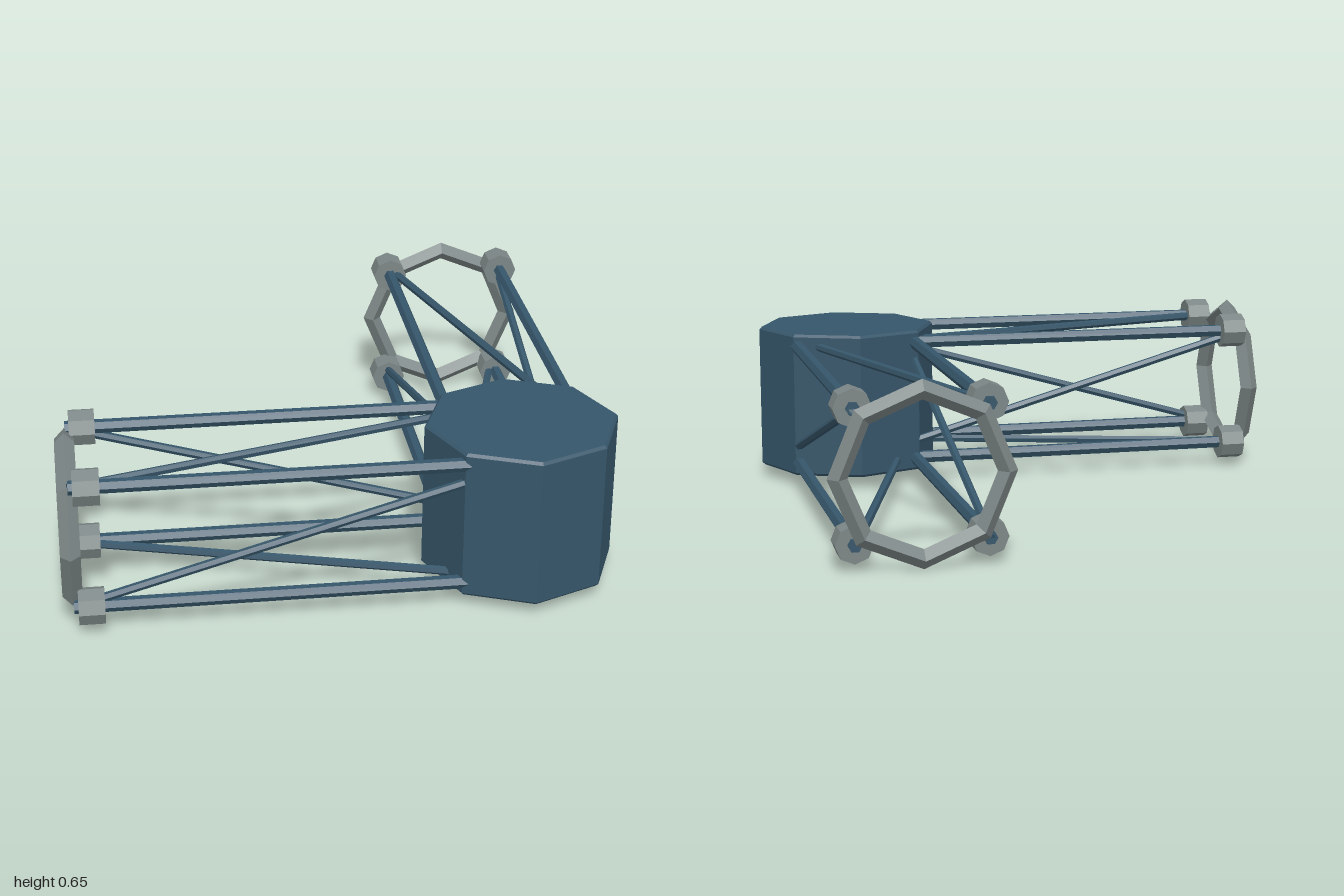
import * as THREE from 'three';

const steelBlue = new THREE.MeshStandardMaterial({ name: 'steelBlue', color: 0x36566a, flatShading: true });
const greyMetal = new THREE.MeshStandardMaterial({ name: 'greyMetal', color: 0x7c8686, flatShading: true });

const HUB = new THREE.Vector3(0.648, 0.33, 0.648);
const OFFSET = 0.232; // half spacing of the rails
const FAR = -1.61;    // outer end of the truss, measured from the hub centre

function add(parent, name, geometry, material) {
  const mesh = new THREE.Mesh(geometry, material);
  mesh.name = name;
  parent.add(mesh);
  return mesh;
}

// Straight bar between two points
function addBar(parent, name, a, b, radius, sides, material) {
  const dir = b.clone().sub(a);
  const bar = add(parent, name, new THREE.CylinderGeometry(radius, radius, dir.length(), sides), material);
  bar.position.copy(a).add(b).multiplyScalar(0.5);
  bar.quaternion.setFromUnitVectors(new THREE.Vector3(0, 1, 0), dir.normalize());
  return bar;
}

// Truss arm running along -x from the hub centre
function createArm(name) {
  const arm = new THREE.Group();
  arm.name = name;
  // bottom front, top front, top back, bottom back
  const corners = [[-1, 1], [1, 1], [1, -1], [-1, -1]];
  const at = (i, x) => new THREE.Vector3(x, corners[i % 4][0] * OFFSET, corners[i % 4][1] * OFFSET);

  for (let i = 0; i < 4; i++) {
    addBar(arm, 'rail', at(i, FAR), at(i, 0), 0.025, 6, steelBlue);
    // one diagonal on each side, winding round the arm
    addBar(arm, 'brace', at(i, FAR), at(i + 1, 0), 0.016, 6, steelBlue);
    addBar(arm, 'railSocket', at(i, -1.595), at(i, -1.503), 0.067, 8, greyMetal);
  }

  // Octagonal end ring with a diamond section
  const ring = add(arm, 'endRing', new THREE.TorusGeometry(0.29, 0.035, 4, 8), greyMetal);
  ring.rotation.y = Math.PI / 2;
  ring.position.x = -1.613;
  return arm;
}

export function createModel() {
  const model = new THREE.Group();
  model.name = 'cornerTruss';

  // Octagonal hub with narrow bevels
  const profile = [[0, -0.28], [0.34, -0.28], [0.35, -0.27], [0.35, 0.27], [0.34, 0.28], [0, 0.28]]
    .map(([r, y]) => new THREE.Vector2(r, y));
  add(model, 'hub', new THREE.LatheGeometry(profile, 8), steelBlue).position.copy(HUB);

  // Two identical arms at a right angle
  ['leftwardArm', 'backwardArm'].forEach((name, i) => {
    const arm = createArm(name);
    arm.position.copy(HUB);
    arm.rotation.y = -i * Math.PI / 2;
    model.add(arm);
  });
  return model;
}
